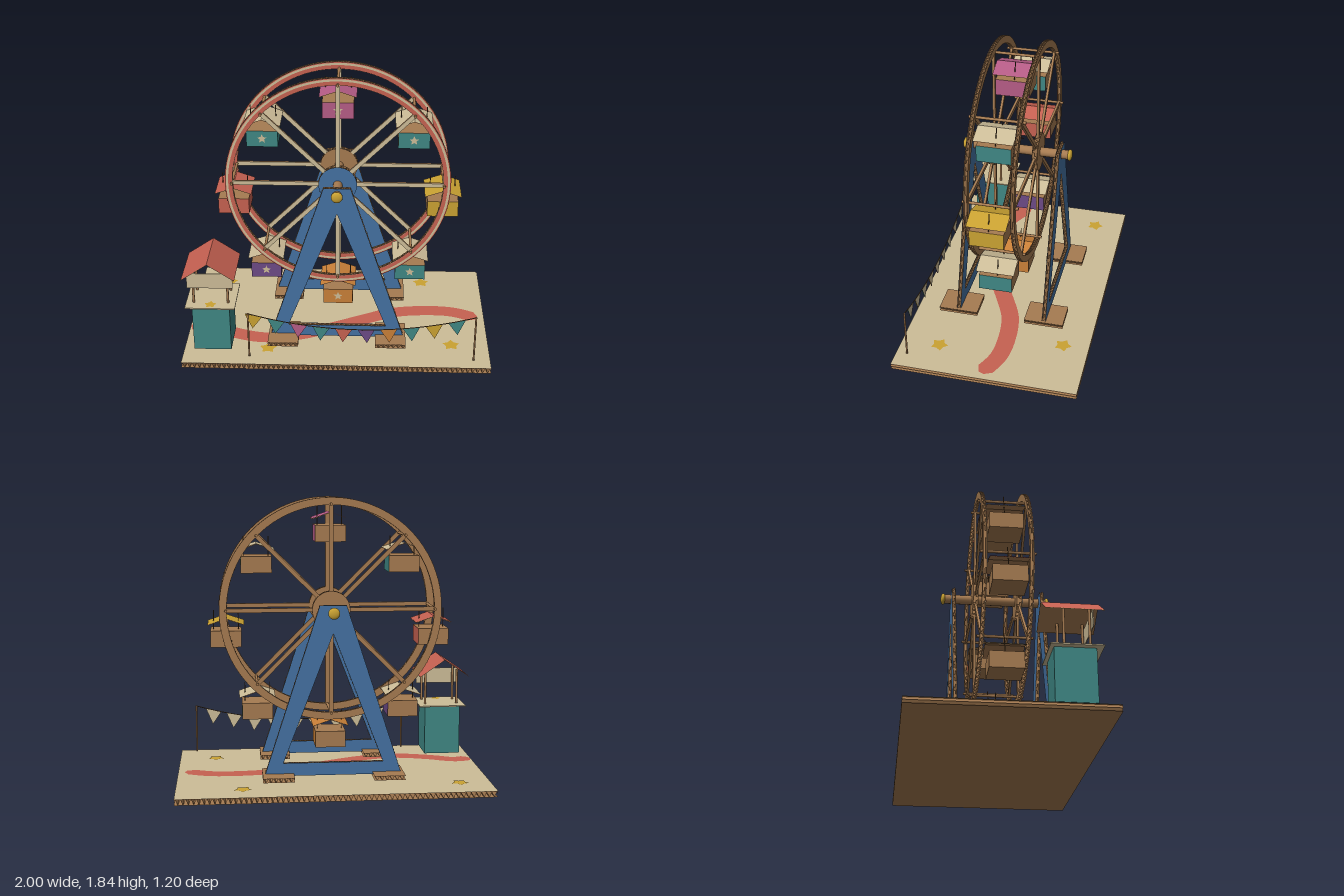
import * as THREE from 'three';

const palette = {
  kraft: 0xa67b51, darkKraft: 0x5e4529, cream: 0xcdbd98, red: 0xc66151, teal: 0x3f8784,
  blue: 0x4471a2, yellow: 0xcaa232, pink: 0xb55c86, purple: 0x6c4a86, orange: 0xc98038,
};

export function createModel() {
  const M = {};
  for (const name in palette) {
    M[name] = new THREE.MeshStandardMaterial({ color: palette[name], side: THREE.DoubleSide });
    M[name].name = name;
  }
  const model = new THREE.Group();
  model.name = 'paperFerrisWheel';

  const add = (parent, name, geo, mat, x = 0, y = 0, z = 0) => {
    const m = new THREE.Mesh(geo, mat);
    m.name = name;
    m.position.set(x, y, z);
    parent.add(m);
    return m;
  };
  const group = (name, x = 0, y = 0, z = 0, parent = model) => {
    const g = new THREE.Group();
    g.name = name;
    g.position.set(x, y, z);
    parent.add(g);
    return g;
  };
  const box = (parent, name, mat, w, h, d, x, y, z) =>
    add(parent, name, new THREE.BoxGeometry(w, h, d), mat, x, y, z);
  const poly = (pts) => new THREE.Shape(pts.map(([x, y]) => new THREE.Vector2(x, y)));
  const rect = (w, h) => poly([[-w / 2, -h / 2], [w / 2, -h / 2], [w / 2, h / 2], [-w / 2, h / 2]]);
  const disc = (r, hole) => {
    const s = new THREE.Shape().absarc(0, 0, r, 0, Math.PI * 2);
    if (hole) s.holes.push(new THREE.Path().absarc(0, 0, hole, 0, Math.PI * 2, true));
    return s;
  };
  const star = (r, inner = r * 0.45) => poly(Array.from({ length: 10 }, (_, i) => {
    const a = Math.PI / 2 + i * Math.PI / 5, q = i % 2 ? inner : r;
    return [Math.cos(a) * q, Math.sin(a) * q];
  }));
  const flat = (shape) => new THREE.ShapeGeometry(shape, 48);
  const rod = (parent, name, mat, r, a, b) => {
    const p = new THREE.Vector3(...a), q = new THREE.Vector3(...b), d = q.clone().sub(p);
    const m = add(parent, name, new THREE.CylinderGeometry(r, r, d.length(), 12), mat);
    m.position.copy(p).add(q).multiplyScalar(0.5);
    m.quaternion.setFromUnitVectors(new THREE.Vector3(0, 1, 0), d.normalize());
    return m;
  };

  // Wavy inner layer: vertical strips clipped to the outline
  const flutes = (shape, t, pitch = 0.032) => {
    const { shape: outer, holes } = shape.extractPoints(48);
    const xs = outer.map((p) => p.x), lo = Math.min(...xs), hi = Math.max(...xs);
    const n = Math.ceil((hi - lo) / (pitch / 4)), w = (hi - lo) / n, pos = [];
    const wave = (i) => Math.sin(i * Math.PI / 2) * (t / 2 - 0.001);
    for (let i = 0; i < n; i++) {
      const x = lo + i * w, mid = x + w / 2, ys = [];
      for (const loop of [outer, ...holes]) {
        loop.forEach((a, k) => {
          const b = loop[(k + 1) % loop.length];
          if ((a.x > mid) !== (b.x > mid)) ys.push(a.y + (b.y - a.y) * (mid - a.x) / (b.x - a.x));
        });
      }
      ys.sort((a, b) => a - b);
      for (let k = 0; k + 1 < ys.length; k += 2) {
        const A = [x, ys[k], wave(i)], B = [x + w, ys[k], wave(i + 1)];
        const C = [x + w, ys[k + 1], wave(i + 1)], D = [x, ys[k + 1], wave(i)];
        pos.push(...A, ...B, ...C, ...A, ...C, ...D);
      }
    }
    const g = new THREE.BufferGeometry();
    g.setAttribute('position', new THREE.Float32BufferAttribute(pos, 3));
    g.computeVertexNormals();
    return g;
  };

  // Corrugated card: two liners, flutes between them, optional paint on each face
  const card = (name, shape, t, x, y, z, front, back, parent = model) => {
    const g = group(name, x, y, z, parent);
    add(g, 'frontLiner', flat(shape), M.kraft, 0, 0, t / 2);
    add(g, 'backLiner', flat(shape).rotateY(Math.PI).scale(-1, 1, 1), M.kraft, 0, 0, -t / 2).visible = false;
    g.children.pop();
    const rear = add(g, 'backLiner', flat(shape), M.kraft, 0, 0, -t / 2);
    rear.geometry.index.array.reverse();
    rear.geometry.attributes.normal.array.forEach((v, i, a) => { a[i] = -v; });
    add(g, 'flutes', flutes(shape, t), M.kraft);
    if (front) add(g, 'frontPaint', flat(shape), front, 0, 0, t / 2 + 0.002);
    if (back) add(g, 'backPaint', rear.geometry, back, 0, 0, -t / 2 - 0.002);
    return g;
  };
  const lay = (o) => { o.rotation.x = -Math.PI / 2; return o; };

  // Folded gable roof, coloured above and bare below
  const gable = (parent, name, mat, halfW, h, depth, x, y, z) => {
    let g = new THREE.PlaneGeometry(2 * halfW, depth, 2, 1).rotateX(-Math.PI / 2);
    const p = g.attributes.position;
    for (let i = 0; i < p.count; i++) p.setY(i, h * (1 - Math.abs(p.getX(i)) / halfW));
    g = g.toNonIndexed();
    g.computeVertexNormals();
    add(parent, name, g, mat, x, y, z);
    add(parent, name + 'Underside', g, M.kraft, x, y - 0.004, z);
  };

  // Base with winding path and paper stars
  lay(card('base', rect(2, 1.2), 0.037, 0, 0.019, 0, M.cream));
  const path = new THREE.CatmullRomCurve3([[-0.99, 0.2], [-0.88, 0.17], [-0.72, 0.24], [-0.5, 0.3], [-0.28, 0.27],
    [0, 0.15], [0.2, 0.05], [0.38, -0.03], [0.58, -0.06], [0.78, -0.05], [0.95, 0.02]]
    .map(([x, z]) => new THREE.Vector3(x, -z, 0)));
  const left = [], right = [];
  for (let i = 0; i <= 40; i++) {
    const c = path.getPoint(i / 40), d = path.getTangent(i / 40), w = i % 40 ? 0.058 : 0.02;
    left.push([Math.max(-1, c.x - d.y * w), c.y + d.x * w]);
    right.unshift([Math.max(-1, c.x + d.y * w), c.y - d.x * w]);
  }
  lay(add(model, 'path', flat(poly([...left, ...right])), M.red, 0, 0.042, 0));
  for (const [x, z] of [[-0.8, -0.4], [0.58, -0.43], [0.755, 0.35], [-0.45, 0.42]])
    lay(add(model, 'groundStar', flat(star(0.058, 0.036)), M.yellow, x, 0.043, z));

  // A-frames and feet
  const aFrame = poly([[-0.44, 0.08], [0.44, 0.08], [0.085, 1.172], [-0.085, 1.172]]);
  aFrame.holes.push(poly([[-0.32, 0.163], [0, 0.995], [0.32, 0.163]]));
  for (const z of [0.309, -0.27]) {
    card('supportFrame', aFrame, 0.022, 0, 0, z, M.blue, M.blue);
    for (const x of [-0.352, 0.352])
      lay(card('foot', rect(0.2, 0.26), 0.026, x, 0.082, z));
  }

  // Axle with domed caps
  const hubY = 1.127, R = 0.673;
  rod(model, 'axle', M.kraft, 0.03, [0, hubY, 0.345], [0, hubY, -0.33]);
  for (const z of [0.352, -0.335])
    add(model, 'axleCap', new THREE.SphereGeometry(0.037, 24, 16).scale(1, 1, 0.45), M.yellow, 0, hubY, z);

  // Two rims with spokes and hubs
  for (const z of [0.158, -0.128]) {
    const wheel = group('wheel', 0, hubY, z);
    card('rim', disc(0.716, 0.668), 0.022, 0, 0, 0, M.cream, null, wheel);
    add(wheel, 'rimStripe', flat(disc(0.695, 0.67)), M.red, 0, 0, 0.0145);
    add(wheel, 'rimEdgeStripe', flat(disc(0.716, 0.709)), M.red, 0, 0, 0.0145);
    card('hub', disc(0.122), 0.034, 0, 0, 0, z > 0 ? M.blue : null, null, wheel);
    for (let i = 0; i < 8; i++) {
      const spoke = group('spoke', 0, 0, 0, wheel);
      spoke.rotation.z = i * Math.PI / 4;
      box(spoke, 'spokeCore', M.kraft, R, 0.027, 0.014, R / 2, 0, 0);
      box(spoke, 'spokePaper', M.cream, R, 0.027, 0.002, R / 2, 0, 0.008);
    }
  }

  // Gondolas hung from rods, starting at +x and going counter-clockwise
  const bodies = ['yellow', 'teal', 'pink', 'teal', 'red', 'purple', 'orange', 'teal'];
  bodies.forEach((colour, i) => {
    const a = i * Math.PI / 4, c = M[colour], k = M.kraft;
    const g = group('gondola', Math.cos(a) * R, hubY + Math.sin(a) * R, 0);
    rod(g, 'crossRod', k, 0.009, [0, 0, 0.19], [0, 0, -0.157]);
    box(g, 'cabin', [c, k, k, k, c, k], 0.198, 0.106, 0.215, 0, -0.188, 0.018);
    gable(g, 'canopy', i % 2 ? M.cream : c, 0.117, 0.04, 0.245, 0, -0.092, 0.016);
    for (const x of [-0.08, 0.08])
      rod(g, 'hanger', M.darkKraft, 0.003, [x, -0.01, 0.002], [x, -0.2, 0.012]);
    if (i % 4) add(g, 'cabinStar', flat(star(0.032)), M.cream, 0, -0.186, 0.128);
  });

  // Ticket booth
  const booth = group('ticketBooth', -0.805, 0, 0.36);
  box(booth, 'boothBody', M.teal, 0.242, 0.33, 0.246, 0, 0.235, 0.002);
  box(booth, 'counter', M.cream, 0.32, 0.008, 0.31, 0, 0.405, 0.01);
  lay(add(booth, 'counterStar', flat(star(0.04, 0.025)), M.yellow, 0, 0.411, 0.12));
  for (const x of [-0.11, 0.11])
    for (const z of [-0.06, 0.09]) rod(booth, 'boothPost', M.kraft, 0.008, [x, 0.405, z], [x, 0.65, z]);
  box(booth, 'signBoard', M.cream, 0.293, 0.106, 0.006, 0, 0.578, 0.105);
  gable(booth, 'boothRoof', M.red, 0.168, 0.115, 0.343, -0.002, 0.62, -0.002);

  // Bunting: posts, sagging string and two-sided pennants
  const bunting = group('bunting', 0, 0, 0.525);
  const x0 = -0.563, x1 = 0.89, sag = (x) => 0.268 + 0.107 * ((x - (x0 + x1) / 2) / ((x1 - x0) / 2)) ** 2;
  for (const x of [x0, x1]) rod(bunting, 'buntingPost', M.kraft, 0.006, [x, 0.05, 0], [x, 0.378, 0]);
  const line = new THREE.CatmullRomCurve3(Array.from({ length: 13 }, (_, i) => {
    const x = x0 + (x1 - x0) * i / 12;
    return new THREE.Vector3(x, sag(x), 0);
  }));
  add(bunting, 'string', new THREE.TubeGeometry(line, 48, 0.003, 6), M.darkKraft);
  ['yellow', 'teal', 'pink', 'teal', 'red', 'purple', 'orange', 'teal', 'yellow', 'teal'].forEach((colour, i) => {
    const x = -0.528 + i * 0.1443, l = x - 0.054, r = x + 0.054;
    const pennant = flat(poly([[l, sag(Math.max(l, x0))], [x + (x < 0.16 ? -0.006 : 0.006), sag(x) - 0.1], [r, sag(r)]]));
    add(bunting, 'pennant', pennant, M[colour], 0, 0, 0.002);
    add(bunting, 'pennantBack', pennant, M.cream, 0, 0, -0.002);
  });

  return model;
}
